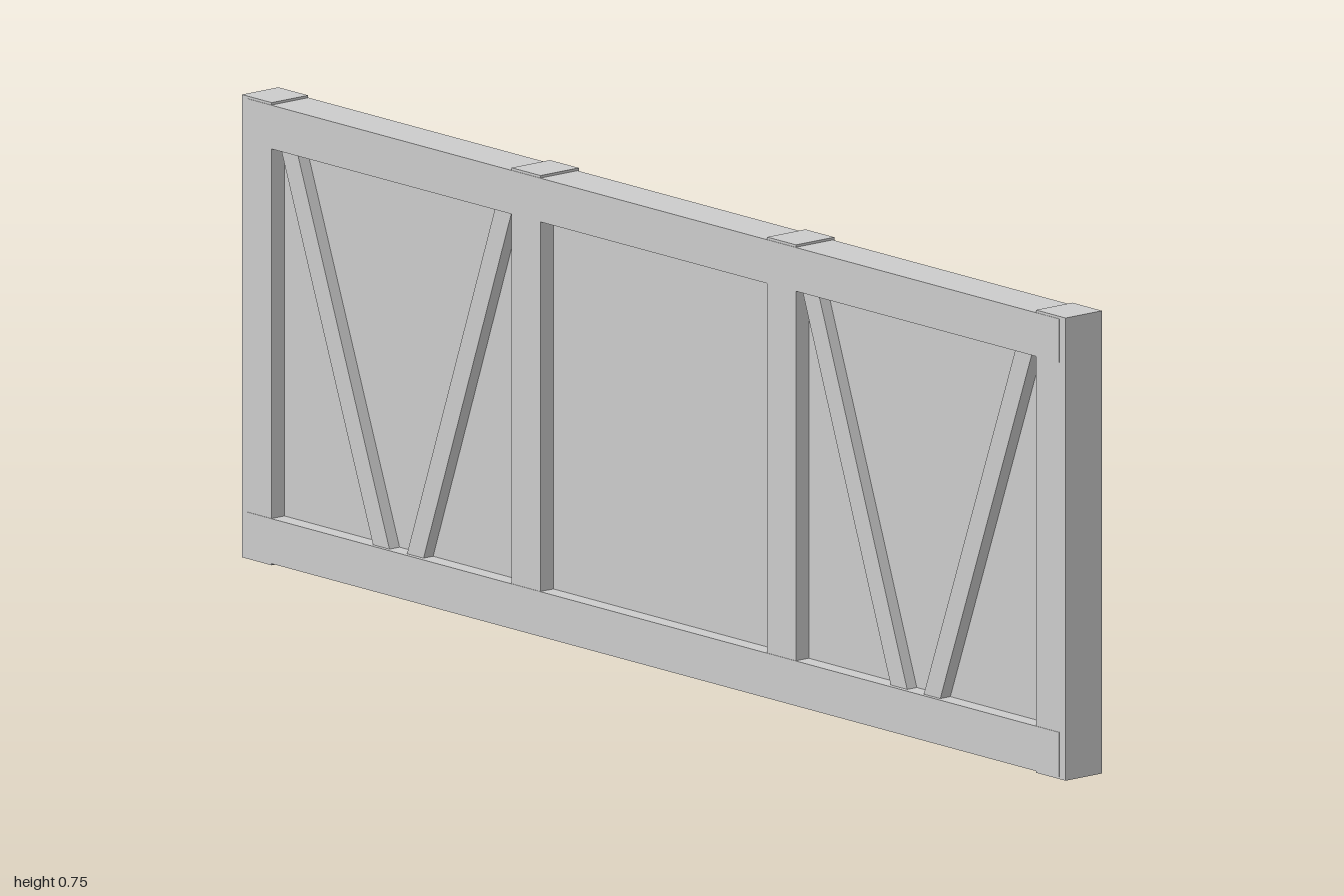
import * as THREE from 'three';

const material = new THREE.MeshStandardMaterial({ color: 0xcccccc, flatShading: true });

// Box given by its limits on each axis
function block(name, [x0, x1], [y0, y1], [z0, z1]) {
  const geometry = new THREE.BoxGeometry(x1 - x0, y1 - y0, z1 - z0);
  geometry.translate((x0 + x1) / 2, (y0 + y1) / 2, (z0 + z1) / 2);
  const mesh = new THREE.Mesh(geometry, material);
  mesh.name = name;
  return mesh;
}

// Slanted board: outline in (z, y), extruded through the wall thickness
function brace(name, [x0, x1], footZ, headZ, width) {
  const h = width / 2;
  const shape = new THREE.Shape([
    new THREE.Vector2(-(footZ - h), 0.012),
    new THREE.Vector2(-(footZ + h), 0.012),
    new THREE.Vector2(-(headZ + h), 0.7),
    new THREE.Vector2(-(headZ - h), 0.7),
  ]);
  const geometry = new THREE.ExtrudeGeometry(shape, { depth: x1 - x0, bevelEnabled: false });
  geometry.rotateY(Math.PI / 2); // shape x becomes -z, depth becomes +x
  geometry.translate(x0, 0, 0);
  const mesh = new THREE.Mesh(geometry, material);
  mesh.name = name;
  return mesh;
}

export function createModel() {
  const wall = new THREE.Group();
  wall.name = 'framedWallPanel';

  // Infill sheet, set back further on the -x face
  wall.add(block('infillPanel', [-0.013, 0.024], [0.066, 0.72], [-0.96, 0.96]));

  // Top rail
  wall.add(block('topRail', [-0.041, 0.037], [0.677, 0.748], [-0.985, 0.985]));

  // Bottom rail, a channel open underneath
  wall.add(block('bottomRailCap', [-0.041, 0.039], [0.066, 0.076], [-0.985, 0.985]));
  wall.add(block('bottomRailLeftSide', [0.034, 0.039], [0.003, 0.076], [-0.985, 0.985]));
  wall.add(block('bottomRailRightSide', [-0.041, -0.036], [0.003, 0.076], [-0.985, 0.985]));

  for (const side of [-1, 1]) {
    const span = (a, b) => [Math.min(side * a, side * b), Math.max(side * a, side * b)];

    // Posts
    wall.add(block('endPost', [-0.04, 0.036], [0, 0.752], span(0.928, 1)));
    wall.add(block('middlePost', [-0.04, 0.04], [0.004, 0.752], span(0.275, 0.345)));

    // V-shaped pair of braces in each outer bay
    wall.add(brace('outerBrace', [-0.034, 0.026], side * 0.645, side * 0.9, 0.04));
    wall.add(brace('innerBrace', [-0.033, 0.0255], side * 0.61, side * 0.365, 0.04));
  }

  return wall;
}
